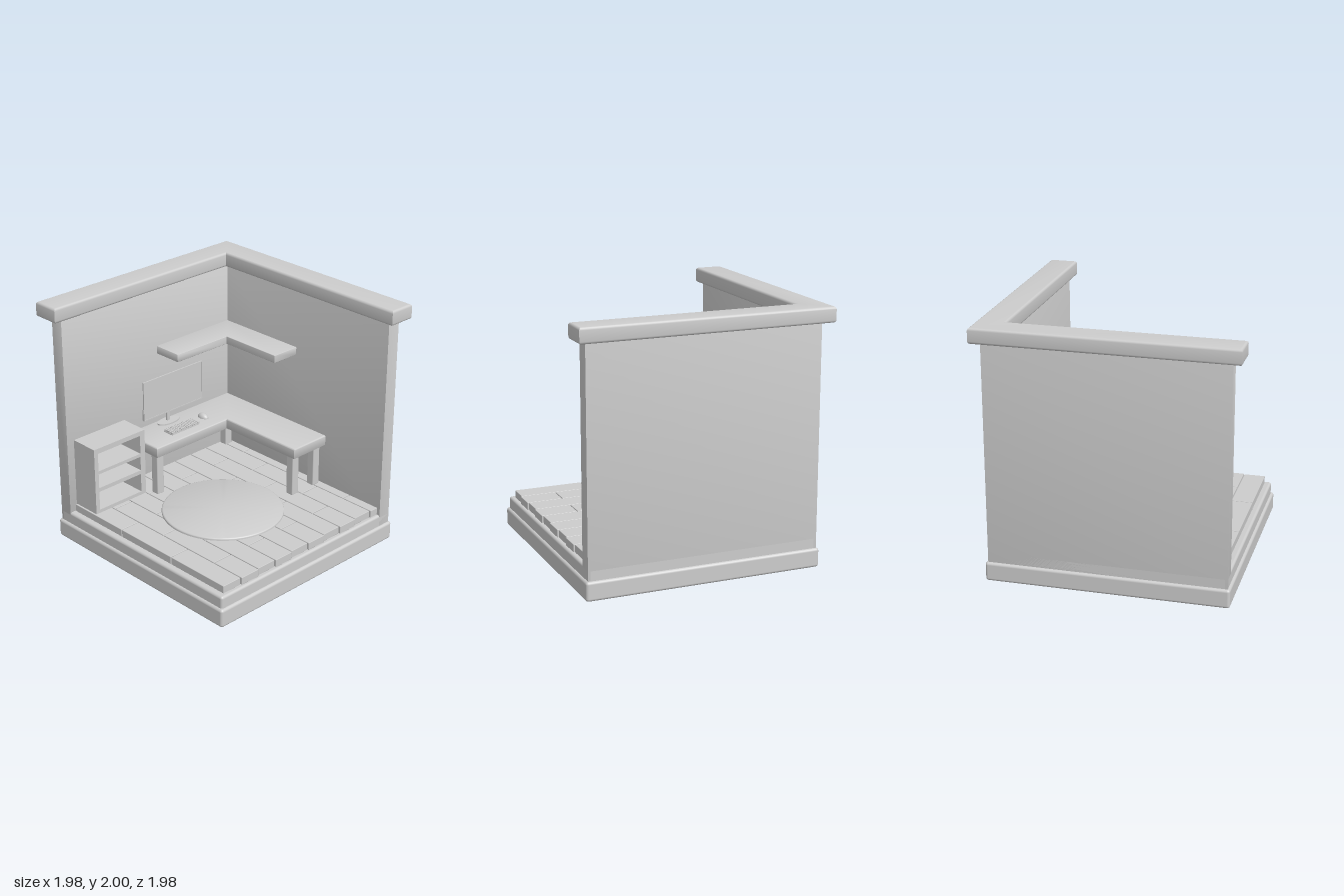
import * as THREE from 'three';
import { toCreasedNormals } from 'three/addons/utils/BufferGeometryUtils.js';
import { RoundedBoxGeometry } from 'three/addons/geometries/RoundedBoxGeometry.js';

const clay = new THREE.MeshStandardMaterial({ color: 0xcccccc });
clay.name = 'clay grey';

function add(parent, name, geometry, x = 0, y = 0, z = 0) {
  const mesh = new THREE.Mesh(geometry, clay);
  mesh.name = name;
  mesh.position.set(x, y, z);
  parent.add(mesh);
  return mesh;
}

// Box given by its limits, with rounded edges when r > 0
function box(parent, name, [x0, x1], [y0, y1], [z0, z1], r = 0, segments = 2) {
  const size = [x1 - x0, y1 - y0, z1 - z0];
  const geometry = r ? new RoundedBoxGeometry(...size, segments, r) : new THREE.BoxGeometry(...size);
  return add(parent, name, geometry, (x0 + x1) / 2, (y0 + y1) / 2, (z0 + z1) / 2);
}

// L-shaped slab hugging the back left corner: the side arm is xIn wide and
// reaches zEnd, the back arm is zIn deep and reaches xEnd
function cornerSlab(parent, name, { x, z, xIn, zIn, xEnd, zEnd }, y0, y1, bevel) {
  const corners = [[x, z], [x, zEnd], [xIn, zEnd], [xIn, zIn], [xEnd, zIn], [xEnd, z]];
  const shape = new THREE.Shape(corners.map(([px, pz]) => new THREE.Vector2(px, -pz)));
  const geometry = new THREE.ExtrudeGeometry(shape, {
    depth: y1 - y0 - 2 * bevel, bevelSize: bevel, bevelThickness: bevel, bevelOffset: -bevel, bevelSegments: 4,
  });
  geometry.rotateX(-Math.PI / 2);
  return add(parent, name, toCreasedNormals(geometry, 0.6), 0, y0 + bevel, 0);
}

function rectangle(Type, [z0, z1], [y0, y1]) {
  return new Type([[-z1, y0], [-z0, y0], [-z0, y1], [-z1, y1]].map((p) => new THREE.Vector2(...p)));
}

// Panel facing +x with rectangular openings
function openPanel(parent, name, [x0, x1], zs, ys, openings) {
  const shape = rectangle(THREE.Shape, zs, ys);
  shape.holes = openings.map(([hz, hy]) => rectangle(THREE.Path, hz, hy));
  const geometry = new THREE.ExtrudeGeometry(shape, { depth: x1 - x0, bevelEnabled: false });
  geometry.rotateY(Math.PI / 2);
  return add(parent, name, geometry, x0, 0, 0);
}

function group(parent, name) {
  const g = new THREE.Group();
  g.name = name;
  parent.add(g);
  return g;
}

export function createModel() {
  const room = new THREE.Group();
  room.name = 'room';

  // Shell: plinth, floor slab, two walls and their coping
  box(room, 'plinth', [-0.93, 0.94], [0, 0.15], [-0.945, 0.925], 0.022, 4);
  box(room, 'floorSlab', [-0.91, 0.92], [0.13, 0.245], [-0.925, 0.905], 0.02, 4);
  cornerSlab(room, 'walls', { x: -0.91, z: -0.925, xIn: -0.8, zIn: -0.815, xEnd: 0.92, zEnd: 0.905 }, 0.13, 1.92, 0.02);
  cornerSlab(room, 'coping', { x: -0.99, z: -0.99, xIn: -0.77, zIn: -0.77, xEnd: 0.985, zEnd: 0.985 }, 1.88, 2, 0.02);

  // Floorboards in staggered rows, the last one cut short at the back wall
  const floor = group(room, 'floorboards');
  const pitch = 0.177, gap = 0.006;
  for (let row = 0; row < 10; row++) {
    const z1 = 0.855 - row * pitch;
    const z0 = Math.max(z1 - pitch + gap, -0.815);
    const seams = row % 2 ? [-0.795, -0.52, 0.045, 0.605, 0.9] : [-0.795, -0.235, 0.325, 0.89];
    for (let i = 0; i + 1 < seams.length; i++) {
      box(floor, 'floorboard', [seams[i], seams[i + 1] - gap], [0.243, 0.305], [z0, z1], 0.004, 1);
    }
  }

  // Round rug with a softened rim
  const rim = [[0, 0], [0.48, 0], [0.48, 0.01], [0.477, 0.016], [0.468, 0.02], [0, 0.02]];
  const rug = new THREE.LatheGeometry(rim.map((p) => new THREE.Vector2(...p)), 64);
  add(room, 'rug', toCreasedNormals(rug, 0.7), 0.075, 0.304, 0.08);

  // Corner desk
  const desk = group(room, 'desk');
  cornerSlab(desk, 'desktop', { x: -0.805, z: -0.82, xIn: -0.435, zIn: -0.455, xEnd: 0.325, zEnd: 0.305 }, 0.645, 0.735, 0.012);
  for (const [x, z] of [[-0.5, 0.245], [-0.755, 0.245], [0.255, -0.515], [0.255, -0.755], [-0.755, -0.755]]) {
    box(desk, 'deskLeg', [x - 0.035, x + 0.035], [0.3, 0.66], [z - 0.035, z + 0.035], 0.008);
  }

  // Corner wall shelf
  cornerSlab(room, 'wallShelf', { x: -0.805, z: -0.82, xIn: -0.555, zIn: -0.57, xEnd: -0.015, zEnd: -0.035 }, 1.33, 1.395, 0.004);

  // Bookcase with three open bays
  const bookcase = group(room, 'bookcase');
  const bay = [0.375, 0.803];
  openPanel(bookcase, 'bookcaseFrame', [-0.785, -0.555], [0.327, 0.84], [0.3, 0.865],
    [[bay, [0.67, 0.827]], [bay, [0.523, 0.643]], [bay, [0.333, 0.49]]]);
  box(bookcase, 'bookcaseBack', [-0.798, -0.785], [0.3, 0.865], [0.327, 0.84]);

  // Monitor: framed screen, back housing and stand
  const monitor = group(room, 'monitor');
  const screenZ = [-0.407, 0.223], screenY = [0.858, 1.192];
  openPanel(monitor, 'screenFrame', [-0.685, -0.674], screenZ, screenY, [[[-0.399, 0.215], [0.866, 1.184]]]);
  box(monitor, 'screen', [-0.684, -0.677], [0.862, 1.188], [-0.403, 0.219]);
  box(monitor, 'backHousing', [-0.694, -0.684], [0.862, 0.955], [-0.409, 0.225]);
  box(monitor, 'standPole', [-0.752, -0.735], [0.74, 0.915], [-0.107, -0.075], 0.003);
  const arm = box(monitor, 'standArm', [-0.79, -0.685], [0.885, 0.903], [-0.107, -0.075], 0.003);
  arm.rotation.z = -0.3;
  const foot = add(monitor, 'standFoot', new THREE.CylinderGeometry(1, 1, 0.012, 40), -0.737, 0.74, -0.088);
  foot.scale.set(0.055, 1, 0.108);

  // Keyboard with a grid of keys
  const keyboard = group(room, 'keyboard');
  box(keyboard, 'keyboardTray', [-0.62, -0.522], [0.733, 0.743], [-0.233, 0.065]);
  for (let i = 0; i < 5; i++) {
    for (let j = 0; j < 15; j++) {
      const x = -0.62 + i * 0.0198, z = -0.233 + j * 0.0199;
      box(keyboard, 'key', [x, x + 0.0165], [0.742, 0.756], [z, z + 0.0165]);
    }
  }

  // Mouse
  const mouse = add(room, 'mouse', new THREE.SphereGeometry(1, 24, 10, 0, Math.PI * 2, 0, Math.PI / 2), -0.597, 0.734, -0.343);
  mouse.scale.set(0.052, 0.036, 0.033);

  return room;
}
